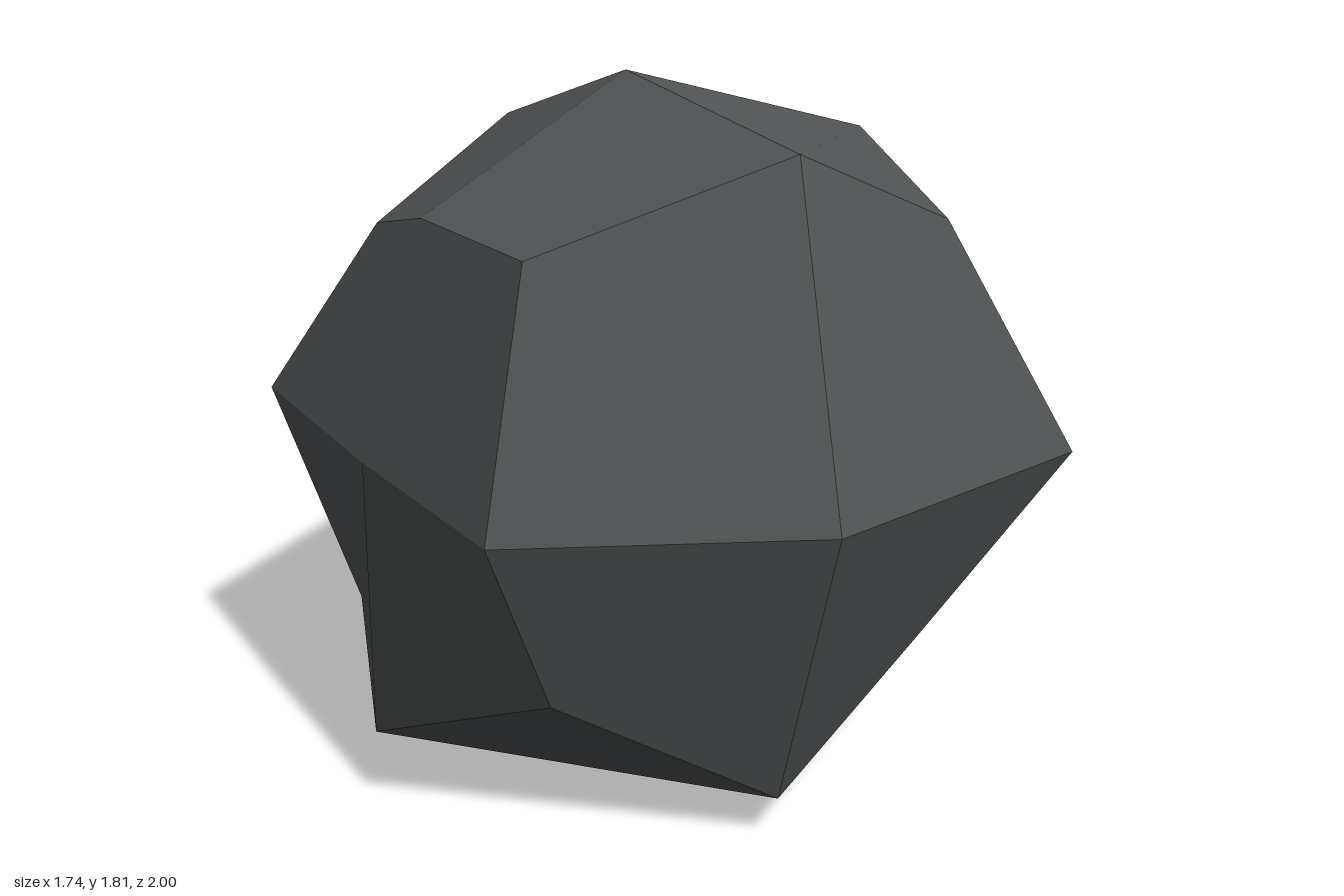
import * as THREE from 'three';

// Three stacked layers of points; in each, rows run back to front, and points run -x to +x.
const layers = [
  [ // bottom
    [[-0.70, 0.29, -0.56], [-0.12, 0.16, -0.74], [0.465, 0.31, -0.60]],
    [[-0.872, 0.148, 0], [-0.12, 0, 0], [0.61, 0.162, 0]],
    [[-0.62, 0.38, 0.53], [-0.12, 0.115, 0.76], [0.435, 0.345, 0.56]],
  ],
  [ // middle
    [[-0.865, 0.89, -0.76], [-0.12, 0.89, -1], [0.61, 0.89, -0.74]],
    [[-0.87, 0.88, -0.01], null, [0.872, 0.895, -0.01]],
    [[-0.86, 0.89, 0.72], [-0.12, 0.87, 1], [0.712, 0.89, 0.81]],
  ],
  [ // top
    [[-0.62, 1.38, -0.51], [-0.12, 1.62, -0.74], [0.37, 1.38, -0.50]],
    [[-0.69, 1.48, -0.01], [-0.12, 1.81, -0.01], [0.61, 1.62, -0.01]],
    [[-0.69, 1.48, 0.58], [-0.12, 1.70, 0.80], [0.46, 1.47, 0.59]],
  ],
];

// Sides of the rounded cube; fold marks the one facet creased between its edge midpoints.
const sides = [
  { axis: 0, sign: 1, fold: [1, -1] }, // +x
  { axis: 0, sign: -1, fold: [1, 1] }, // -x
  { axis: 1, sign: 1, fold: [1, 1] }, // top
  { axis: 1, sign: -1, fold: [1, -1] }, // bottom
  { axis: 2, sign: 1, fold: [1, 1] }, // front
  { axis: 2, sign: -1, fold: [-1, 1] }, // back
];

// Skin the points with four facets per side, each shaded evenly by one normal.
function boulderGeometry() {
  const positions = [], normals = [];
  const pointAt = ([i, j, k]) => new THREE.Vector3(...layers[j + 1][k + 1][i + 1]);

  const addFacet = (centre, edgeA, corner, edgeB, creased) => {
    const across = corner.clone().sub(centre);
    const normal = across.cross(edgeB.clone().sub(edgeA)).normalize();
    const order = creased
      ? [centre, edgeA, edgeB, edgeA, corner, edgeB]
      : [centre, edgeA, corner, centre, corner, edgeB];
    for (const point of order) {
      positions.push(...point.toArray());
      normals.push(...normal.toArray());
    }
  };

  for (const { axis, sign, fold } of sides) {
    const a = (axis + 1) % 3, b = (axis + 2) % 3;
    for (const sa of [-1, 1]) for (const sb of [-1, 1]) {
      const node = (u, v) => {
        const index = [0, 0, 0];
        index[axis] = sign;
        index[a] = u;
        index[b] = v;
        return pointAt(index);
      };
      const edges = [node(sa, 0), node(0, sb)];
      if (sign * sa * sb < 0) edges.reverse();
      const creased = sa === fold[0] && sb === fold[1];
      addFacet(node(0, 0), edges[0], node(sa, sb), edges[1], creased);
    }
  }

  const geometry = new THREE.BufferGeometry();
  geometry.setAttribute('position', new THREE.Float32BufferAttribute(positions, 3));
  geometry.setAttribute('normal', new THREE.Float32BufferAttribute(normals, 3));
  return geometry;
}

export function createModel() {
  const stone = new THREE.MeshStandardMaterial({ color: 0x505455 });
  stone.name = 'dark grey stone';

  const boulder = new THREE.Mesh(boulderGeometry(), stone);
  boulder.name = 'boulder';

  const model = new THREE.Group();
  model.name = 'rock';
  model.add(boulder);
  return model;
}
